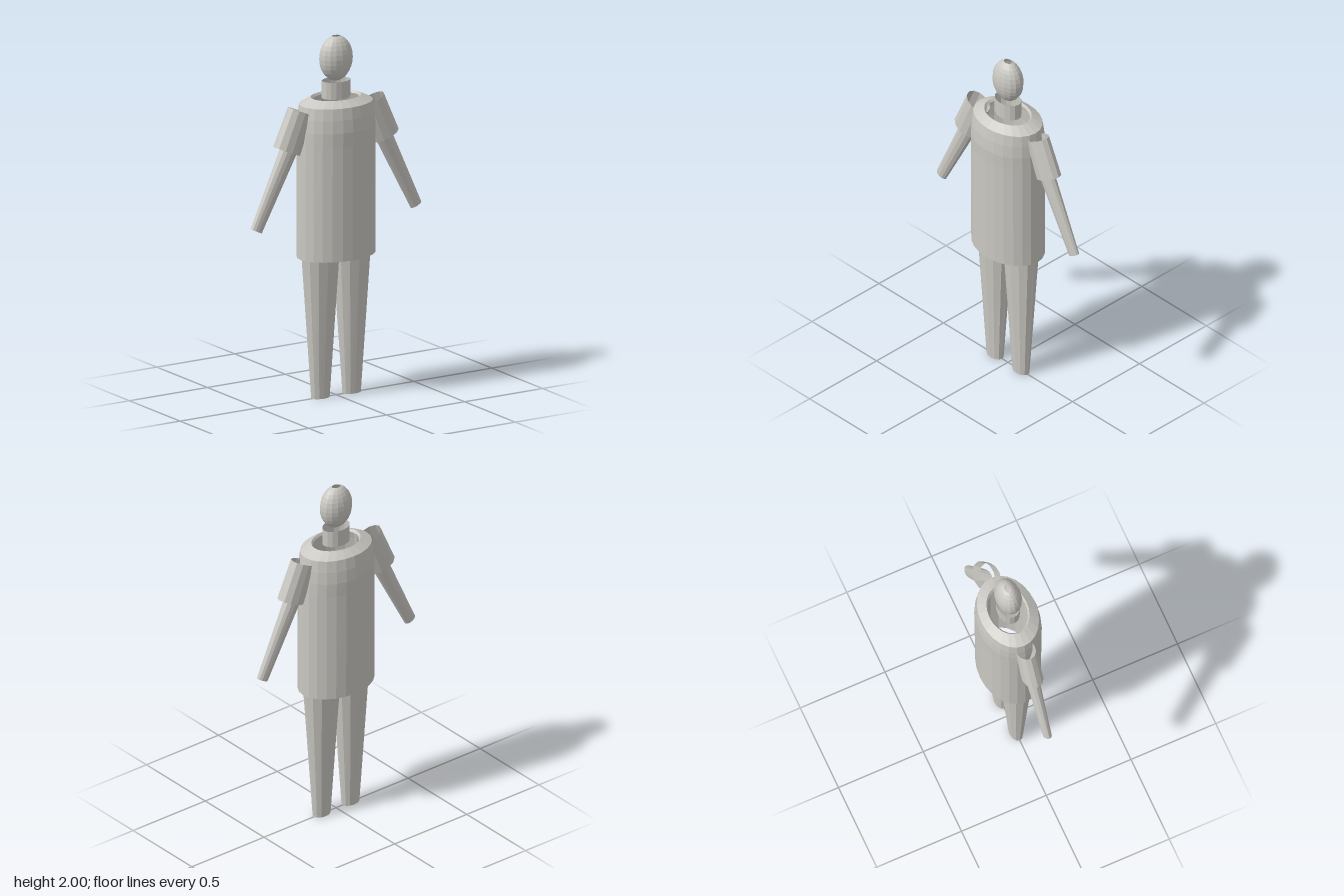
import * as THREE from 'three';

const material = new THREE.MeshStandardMaterial({ color: 0xcac8c2, side: THREE.DoubleSide });
material.name = 'warm grey';

// Open, faceted tube through elliptical rings listed from bottom to top: [x, y, radiusX, radiusZ].
// Rings may be tilted in the front plane, for slanted limbs.
function tube(name, rings, sides, tilt = 0) {
  const positions = [];
  const index = [];
  rings.forEach(([cx, cy, rx, rz], i) => {
    for (let j = 0; j < sides; j++) {
      const a = (j / sides) * Math.PI * 2;
      const u = rx * Math.cos(a);
      positions.push(cx + u * Math.cos(tilt), cy + u * Math.sin(tilt), rz * Math.sin(a));
      if (i === rings.length - 1) continue;
      const b0 = i * sides + j;
      const b1 = i * sides + ((j + 1) % sides);
      index.push(b0, b0 + sides, b1, b1, b0 + sides, b1 + sides);
    }
  });
  const indexed = new THREE.BufferGeometry();
  indexed.setAttribute('position', new THREE.Float32BufferAttribute(positions, 3));
  indexed.setIndex(index);
  const geometry = indexed.toNonIndexed();
  geometry.computeVertexNormals();
  const mesh = new THREE.Mesh(geometry, material);
  mesh.name = name;
  return mesh;
}

export function createModel() {
  const model = new THREE.Group();
  model.name = 'mannequin';

  // Torso shell with sloping shoulders and a thin lip around the neck opening
  model.add(tube('torso', [
    [0, 0.785, 0.23, 0.165],
    [0, 1.42, 0.23, 0.168],
    [0, 1.5, 0.229, 0.171],
    [0, 1.57, 0.224, 0.166],
    [0, 1.635, 0.215, 0.156],
    [0, 1.668, 0.147, 0.109],
    [0, 1.655, 0.136, 0.1],
  ], 24));

  model.add(tube('neck', [[0, 1.66, 0.083, 0.06], [0, 1.755, 0.083, 0.06]], 16));

  // Head: ellipsoid with small openings at both poles
  const headRings = [];
  const rows = 12;
  for (let i = 0; i <= rows; i++) {
    const t = Math.PI - 0.26 - (i / rows) * (Math.PI - 0.52);
    headRings.push([0, 1.878 + 0.126 * Math.cos(t), 0.098 * Math.sin(t), 0.07 * Math.sin(t)]);
  }
  model.add(tube('head', headRings, 16));

  // Limbs, mirrored left and right
  for (const [side, s] of [['left', 1], ['right', -1]]) {
    model.add(tube(side + 'UpperArm', [
      [s * 0.317, 1.402, 0.084, 0.058],
      [s * 0.229, 1.613, 0.078, 0.054],
    ], 12, s * 0.41));
    model.add(tube(side + 'Forearm', [
      [s * 0.512, 0.985, 0.036, 0.023],
      [s * 0.296, 1.42, 0.052, 0.038],
    ], 12, s * 0.45));
    model.add(tube(side + 'Leg', [
      [s * 0.1, 0, 0.055, 0.036],
      [s * 0.1, 0.82, 0.112, 0.083],
    ], 12));
  }
  return model;
}
